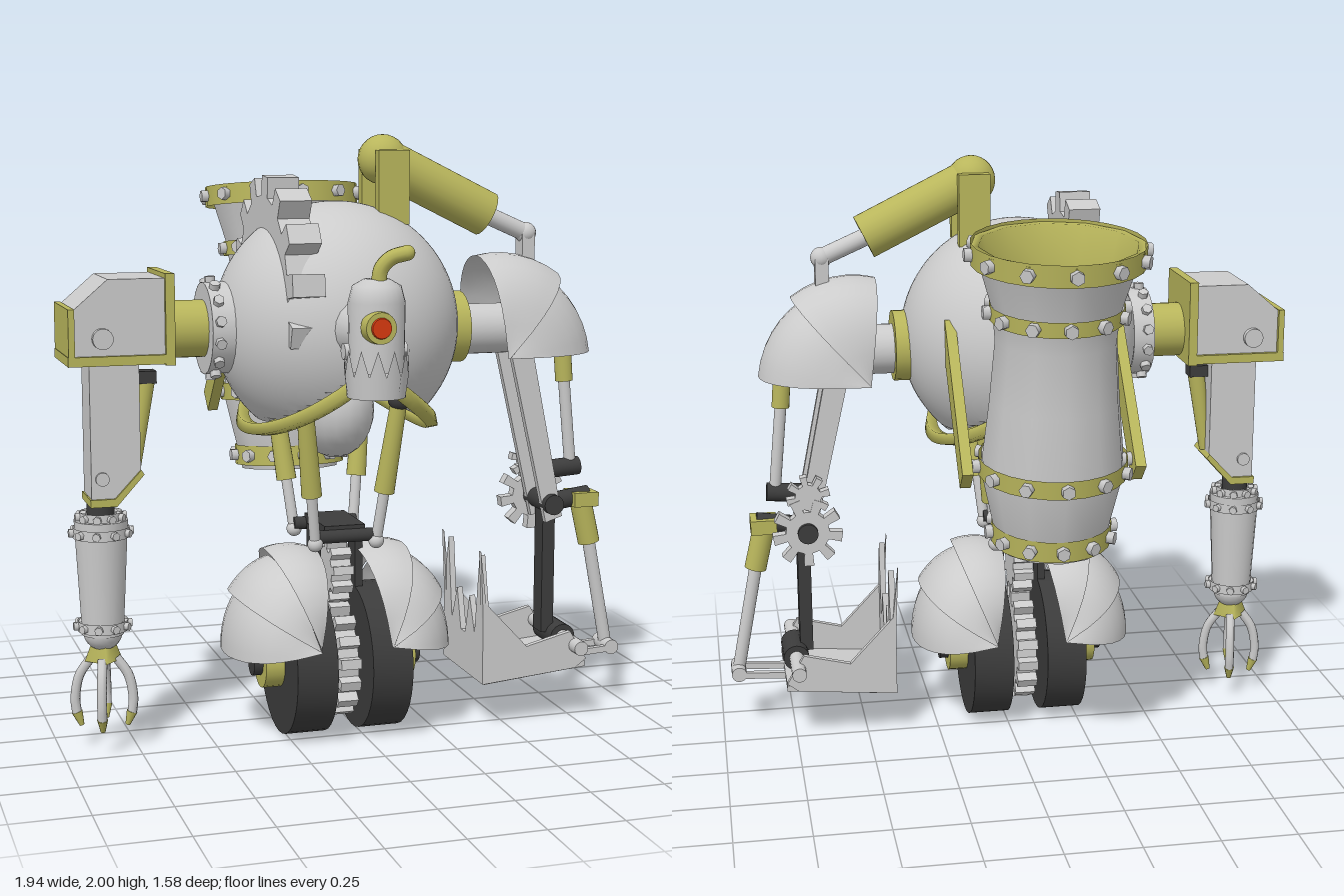
import * as THREE from 'three';
import { toCreasedNormals } from 'three/addons/utils/BufferGeometryUtils.js';

const mat = (color) => new THREE.MeshStandardMaterial({ color, side: THREE.DoubleSide });
const grey = mat(0xcccccc), brass = mat(0xb9b65c), black = mat(0x3c3c3c), red = mat(0xd83a10);
const V = (x, y, z) => new THREE.Vector3(x, y, z);
const Z = 0.145; // depth of the main axis
const CX = -0.065; // middle of body and wheels

export function createModel() {
  const root = new THREE.Group();

  const add = (name, geo, m, p = [0, 0, 0], parent = root) => {
    const mesh = new THREE.Mesh(geo, m);
    mesh.name = name;
    mesh.position.set(...p);
    parent.add(mesh);
    return mesh;
  };
  const group = (name, p, parent = root) => {
    const g = new THREE.Group();
    g.name = name;
    g.position.set(...p);
    parent.add(g);
    return g;
  };
  const box = (name, m, size, p, parent) => add(name, new THREE.BoxGeometry(...size), m, p, parent);
  const ball = (name, m, r, p, parent) => add(name, new THREE.SphereGeometry(r, 20, 14), m, p, parent);
  // Cylinder between two points
  const rod = (name, m, a, b, r0, r1 = r0, seg = 20, parent = root) => {
    const A = V(...a), B = V(...b), d = B.clone().sub(A);
    const mesh = add(name, new THREE.CylinderGeometry(r1, r0, d.length(), seg), m,
      A.clone().add(B).multiplyScalar(0.5).toArray(), parent);
    mesh.quaternion.setFromUnitVectors(V(0, 1, 0), d.normalize());
    return mesh;
  };
  // Plate drawn in x-y, centred on z
  const plate = (name, m, pts, depth, z, parent) => {
    const geo = new THREE.ExtrudeGeometry(new THREE.Shape(pts.map((p) => new THREE.Vector2(...p))),
      { depth, bevelEnabled: false });
    return add(name, geo.translate(0, 0, -depth / 2), m, [0, 0, z], parent);
  };
  // Toothed wheel about z
  const gear = (name, m, rIn, rOut, n, depth, p) => {
    const pts = [];
    for (let i = 0; i < n; i++) [[0, rIn], [0.46, rIn], [0.52, rOut], [0.94, rOut]].forEach(([f, r]) => {
      const a = ((i + f) / n) * Math.PI * 2;
      pts.push([Math.cos(a) * r, Math.sin(a) * r]);
    });
    const mesh = plate(name, m, pts, depth, 0);
    mesh.position.set(...p);
    return mesh;
  };
  // Band with hexagonal bolts about y
  const boltRing = (name, p, r, h, n, parent, m = brass, size = 0.022) => {
    const g = group(name, p, parent);
    add('band', new THREE.CylinderGeometry(r, r, h, 24, 1, true), m, [0, 0, 0], g);
    for (let i = 0; i < n; i++) {
      const a = (i / n) * Math.PI * 2, c = Math.cos(a), s = Math.sin(a);
      rod('bolt', grey, [c * (r - 0.02), 0, s * (r - 0.02)], [c * (r + size), 0, s * (r + size)], size, size, 6, g);
    }
    return g;
  };
  // Overlapping curved plates, fanned about the z axis
  const shell = (name, p, [rx, ry, rz], side, a0, a1, n) => {
    const g = group(name, p), step = (a1 - a0) / n;
    for (let i = 0; i < n; i++) {
      const geo = new THREE.PlaneGeometry(1, 1, 6, 16), q = geo.attributes.position;
      for (let j = 0; j < q.count; j++) {
        const u = q.getX(j) + 0.5, t = q.getY(j) * Math.PI;
        const a = a0 + step * (i + u * 1.05), k = Math.pow(Math.max(Math.cos(t), 0), 0.7) * (1.04 - 0.1 * u);
        q.setXYZ(j, side * rx * k * Math.cos(a), ry * k * Math.sin(a), rz * Math.sin(t) * (1.02 - 0.06 * u));
      }
      geo.computeVertexNormals();
      add('shellPlate', geo, grey, [0, 0, 0], g);
    }
  };

  // Round hull with a V-shaped opening underneath
  const hull = new THREE.SphereGeometry(0.405, 64, 48), hp = hull.attributes.position;
  for (let i = 0; i < hp.count; i++)
    hp.setY(i, Math.max(hp.getY(i), -0.1 - 0.8 * Math.abs(hp.getX(i))));
  add('hull', toCreasedNormals(hull, 0.5), grey, [-0.06, 1.38, 0.14]);
  ball('belly', grey, 1, [CX, 1.1, 0.14]).scale.set(0.13, 0.165, 0.17);
  for (const s of [-1, 1]) {
    const pts = [];
    for (let i = 0; i <= 12; i++) {
      const a = (i / 12 - 0.5) * Math.PI, c = Math.cos(a);
      pts.push(V(s * (0.04 + 0.26 * c), -0.14 - 0.19 * c, 0.41 * Math.sin(a)));
    }
    add('hullRim', new THREE.TubeGeometry(new THREE.CatmullRomCurve3(pts), 32, 0.026, 4), brass, [-0.06, 1.38, 0.14]);
  }
  gear('hullGear', grey, 0.31, 0.375, 14, 0.105, [-0.255, 1.495, 0.135]).rotation.y = Math.PI / 2;

  // Head on a short neck
  rod('neck', grey, [-0.08, 1.4, 0.48], [-0.08, 1.4, 0.6], 0.11, 0.08);
  const head = group('head', [-0.09, 0, 0.67]);
  add('skull', new THREE.LatheGeometry([[0.085, 1.29], [0.088, 1.5], [0.075, 1.55], [0.04, 1.57], [0, 1.572]]
    .map((p) => new THREE.Vector2(...p)), 24), grey, [0, 0, 0], head);
  const jaw = new THREE.CylinderGeometry(0.1, 0.09, 0.1, 24, 1, true), jp = jaw.attributes.position;
  for (let i = 0; i < jp.count; i++) if (jp.getY(i) > 0) jp.setY(i, i % 2 ? 0.1 : 0.02);
  add('toothedJaw', jaw, grey, [0, 1.26, 0], head);
  rod('jawBase', grey, [0, 1.21, 0], [0, 1.23, 0], 0.09, 0.09, 24, head);
  rod('jawHinge', grey, [-0.1, 1.35, -0.02], [0.1, 1.35, -0.02], 0.025, 0.025, 16, head);
  rod('eyeRim', brass, [-0.018, 1.43, 0.06], [-0.018, 1.43, 0.105], 0.052, 0.048, 24, head);
  rod('eye', red, [-0.018, 1.43, 0.1], [-0.018, 1.43, 0.112], 0.034, 0.03, 24, head);
  const horn = new THREE.CatmullRomCurve3([V(0.0, 1.54, 0.02), V(0.005, 1.6, 0.025), V(0.035, 1.635, 0.035), V(0.08, 1.65, 0.05)]);
  add('horn', new THREE.TubeGeometry(horn, 16, 0.024, 10), brass, [0, 0, 0], head);
  ball('hornTip', brass, 0.024, [0.08, 1.65, 0.05], head);

  // Tilted funnel barrel on the back
  const barrel = group('barrel', [-0.07, 0.81, -0.405]);
  barrel.rotation.x = -0.1;
  const lathe = (name, m, pts) => add(name, new THREE.LatheGeometry(pts.map((p) => new THREE.Vector2(...p)), 12), m, [0, 0, 0], barrel);
  const wall = lathe('barrelWall', grey, [[0, 0], [0.175, 0], [0.19, 0.07], [0.232, 0.26], [0.23, 0.31], [0.21, 0.5], [0.195, 0.7], [0.205, 0.8], [0.262, 0.99]]);
  wall.geometry = toCreasedNormals(wall.geometry, 0.7);
  lathe('barrelLining', brass, [[0.275, 1.0], [0.25, 1.0], [0.21, 0.86], [0.16, 0.5], [0, 0.5]]);
  [[0.05, 0.195, 0.07], [0.28, 0.24, 0.06], [0.79, 0.213, 0.05], [0.975, 0.273, 0.07]]
    .forEach(([y, r, h]) => boltRing('barrelBand', [0, y, 0], r, h, 12, barrel));
  for (const s of [-1, 1]) {
    const strut = plate('barrelStrut', brass, [[0.13, 1.5], [0.13, 1.36], [0.44, 1.02], [0.5, 1.08]], 0.035, 0);
    strut.rotation.y = Math.PI / 2;
    strut.position.set(CX + s * 0.28, 0, 0);
  }

  // Four piston legs down to the wheel frame
  for (const s of [-1, 1]) for (const f of [-1, 1]) {
    const top = V(CX + s * 0.16, 1.15, Z + f * 0.2), foot = V(CX + s * 0.105, 0.67, Z + f * 0.13);
    const mid = top.clone().lerp(foot, 0.65);
    rod('legSleeve', brass, top.toArray(), mid.toArray(), 0.027, 0.034);
    rod('legRod', grey, mid.toArray(), foot.toArray(), 0.018);
    ball('legFoot', grey, 0.026, foot.toArray());
    ball('legHip', black, 0.038, top.toArray());
  }
  for (const f of [-1, 1]) rod('frameBar', black, [CX - 0.11, 0.69, Z + f * 0.12], [CX + 0.11, 0.69, Z + f * 0.12], 0.022);
  box('frameBlock', black, [0.14, 0.05, 0.24], [CX, 0.7, Z]);

  // Twin wheels, fork, drive sprockets and fenders
  for (const s of [-1, 1]) {
    const at = (d) => [CX + s * d, 0.25, Z];
    const tyre = rod('wheel', black, at(0.06), at(0.198), 0.248, 0.248, 36);
    tyre.geometry = toCreasedNormals(tyre.geometry, 0.5);
    rod('hub', brass, at(0.195), at(0.262), 0.088);
    rod('axleCap', black, at(0.25), at(0.292), 0.045);
    box('fork', black, [0.026, 0.45, 0.08], [CX + s * 0.073, 0.48, Z]);
    shell('fender', [CX + s * 0.12, 0.34, Z], [0.26, 0.31, 0.27], s, -0.15, 1.75, 3);
  }
  gear('driveSprocket', grey, 0.165, 0.2, 16, 0.07, [CX, 0.25, Z]).rotation.y = Math.PI / 2;
  gear('upperSprocket', grey, 0.08, 0.11, 10, 0.07, [CX, 0.55, Z]).rotation.y = Math.PI / 2;

  // Right arm: shoulder housing
  const socket = boltRing('rightSocket', [-0.485, 1.38, Z], 0.15, 0.05, 14, root, grey, 0.018);
  socket.rotation.z = Math.PI / 2;
  rod('rightSocketDisc', grey, [-0.51, 1.38, Z], [-0.4, 1.38, Z], 0.149, 0.149, 24);
  rod('rightShoulderTube', brass, [-0.65, 1.38, Z], [-0.5, 1.38, Z], 0.093);
  plate('rightShoulder', grey, [[-0.95, 1.31], [-0.65, 1.31], [-0.65, 1.555], [-0.84, 1.555], [-0.95, 1.46]], 0.26, 0.14);
  box('shoulderInnerPlate', brass, [0.03, 0.29, 0.29], [-0.645, 1.425, 0.14]);
  box('shoulderBasePlate', brass, [0.33, 0.03, 0.29], [-0.805, 1.3, 0.14]);
  box('shoulderOuterPlate', brass, [0.02, 0.18, 0.29], [-0.958, 1.375, 0.14]);
  rod('shoulderPin', grey, [-0.86, 1.37, -0.01], [-0.86, 1.37, 0.29], 0.033);
  plate('rightUpperArm', grey, [[-0.895, 1.3], [-0.895, 0.84], [-0.82, 0.84], [-0.735, 0.93], [-0.735, 1.3]], 0.15, Z);
  plate('upperArmEdge', brass, [[-0.9, 0.825], [-0.815, 0.825], [-0.725, 0.925], [-0.735, 0.94], [-0.82, 0.85], [-0.9, 0.85]], 0.17, Z);
  rod('elbowPin', grey, [-0.86, 0.915, 0.06], [-0.86, 0.915, 0.23], 0.022);
  box('armPistonCap', black, [0.07, 0.04, 0.06], [-0.705, 1.23, Z]);
  rod('armPiston', brass, [-0.7, 1.22, Z], [-0.74, 0.94, Z], 0.03, 0.02);

  // Right forearm and claw
  const forearm = group('rightForearm', [-0.855, 0, Z]);
  rod('elbowNeck', black, [0, 0.78, 0], [0, 0.85, 0], 0.045, 0.045, 20, forearm);
  rod('forearmTube', grey, [0, 0.39, 0], [0, 0.77, 0], 0.068, 0.088, 20, forearm);
  [[0.78, 0.07], [0.73, 0.092], [0.42, 0.082]].forEach(([y, r]) => boltRing('forearmBand', [0, y, 0], r, 0.034, 10, forearm, grey, 0.014));
  ball('wrist', grey, 0.065, [0, 0.4, 0], forearm);
  rod('palm', brass, [0, 0.3, 0], [0, 0.37, 0], 0.062, 0.035, 4, forearm);
  for (let i = 0; i < 4; i++) {
    const a = (i / 4) * Math.PI * 2 + 0.25, c = Math.cos(a), s = Math.sin(a);
    const pt = (r, y) => V(c * r, y, s * r);
    const finger = new THREE.CatmullRomCurve3([pt(0.04, 0.31), pt(0.08, 0.25), pt(0.095, 0.17), pt(0.09, 0.12)]);
    add('finger', new THREE.TubeGeometry(finger, 12, 0.016, 8), grey, [0, 0, 0], forearm);
    rod('fingerTip', brass, pt(0.09, 0.125).toArray(), pt(0.075, 0.08).toArray(), 0.018, 0.008, 10, forearm);
  }

  // Left shoulder, pad and overhead piston
  rod('leftSocket', brass, [0.29, 1.36, Z], [0.375, 1.36, Z], 0.12, 0.12, 24);
  rod('leftShoulderTube', grey, [0.36, 1.35, Z], [0.56, 1.35, Z], 0.085);
  shell('shoulderPad', [0.47, 1.27, Z], [0.35, 0.35, 0.22], 1, 0, 1.65, 2);
  for (const s of [-1, 1]) box('pistonBracket', brass, [0.105, 0.24, 0.04], [0.105, 1.83, Z + s * 0.09]);
  ball('pistonJoint', brass, 0.082, [0.1, 1.918, Z]);
  rod('overheadPiston', brass, [0.1, 1.915, Z], [0.465, 1.735, Z], 0.076);
  rod('overheadRod', grey, [0.45, 1.74, Z], [0.61, 1.67, Z], 0.03);
  ball('overheadRodEnd', grey, 0.036, [0.61, 1.67, Z]);
  box('padLug', grey, [0.045, 0.12, 0.06], [0.61, 1.61, Z]);

  // Left arm: twin links, gears and pistons
  for (const s of [-1, 1])
    plate('leftUpperArm', grey, [[0.53, 1.29], [0.61, 1.29], [0.73, 0.7], [0.67, 0.68]], 0.025, Z + s * 0.065);
  rod('upperArmPin', grey, [0.57, 1.32, 0.03], [0.57, 1.32, 0.26], 0.05);
  gear('elbowGear', grey, 0.075, 0.12, 9, 0.04, [0.69, 0.745, 0.035]);
  gear('smallElbowGear', grey, 0.045, 0.075, 8, 0.035, [0.685, 0.87, 0.035]);
  rod('elbowAxle', black, [0.69, 0.745, 0], [0.69, 0.745, 0.25], 0.035);
  box('leftForearm', black, [0.045, 0.48, 0.07], [0.7, 0.52, Z]);
  rod('leftPistonSleeve', brass, [0.75, 1.32, Z], [0.762, 1.16, Z], 0.03);
  rod('leftPistonRod', grey, [0.762, 1.16, Z], [0.79, 0.87, Z], 0.02);
  rod('upperKnuckle', black, [0.68, 0.85, Z], [0.82, 0.86, Z], 0.032);
  rod('lowerKnuckle', black, [0.68, 0.73, Z], [0.86, 0.755, Z], 0.032);
  box('forearmSleeveCollar', brass, [0.09, 0.05, 0.1], [0.835, 0.745, Z]);
  rod('forearmSleeve', brass, [0.83, 0.75, Z], [0.868, 0.585, Z], 0.038);
  rod('forearmRod', grey, [0.868, 0.585, Z], [0.94, 0.21, Z], 0.022);
  rod('rodPin', grey, [0.94, 0.21, Z - 0.055], [0.94, 0.21, Z + 0.055], 0.026);

  // Scoop with spiked edge
  for (const s of [-1, 1]) {
    plate('scoopSide', grey, [[0.39, 0.62], [0.41, 0.44], [0.56, 0.28], [0.72, 0.32], [0.78, 0.22], [0.74, 0.19], [0.41, 0.16]], 0.02, Z + s * 0.18);
    box('scoopLink', grey, [0.24, 0.022, 0.02], [0.83, 0.2, Z + s * 0.045]).rotation.z = 0.06;
  }
  plate('scoopFloor', grey, [[0.41, 0.155], [0.78, 0.19], [0.78, 0.21], [0.41, 0.18]], 0.36, Z);
  const blade = plate('scoopSpikes', grey, [[-0.19, 0.16], [0.19, 0.16], [0.19, 0.42], [0.15, 0.6], [0.11, 0.32], [0.06, 0.44],
    [0.02, 0.3], [-0.02, 0.3], [-0.06, 0.44], [-0.11, 0.32], [-0.15, 0.6], [-0.19, 0.42]], 0.02, Z);
  blade.rotation.y = Math.PI / 2;
  blade.position.x = 0.41;
  rod('scoopHinge', grey, [0.74, 0.27, Z - 0.24], [0.74, 0.27, Z + 0.24], 0.025);
  rod('scoopHingeCore', black, [0.74, 0.27, Z - 0.08], [0.74, 0.27, Z + 0.08], 0.045);

  return root;
}
